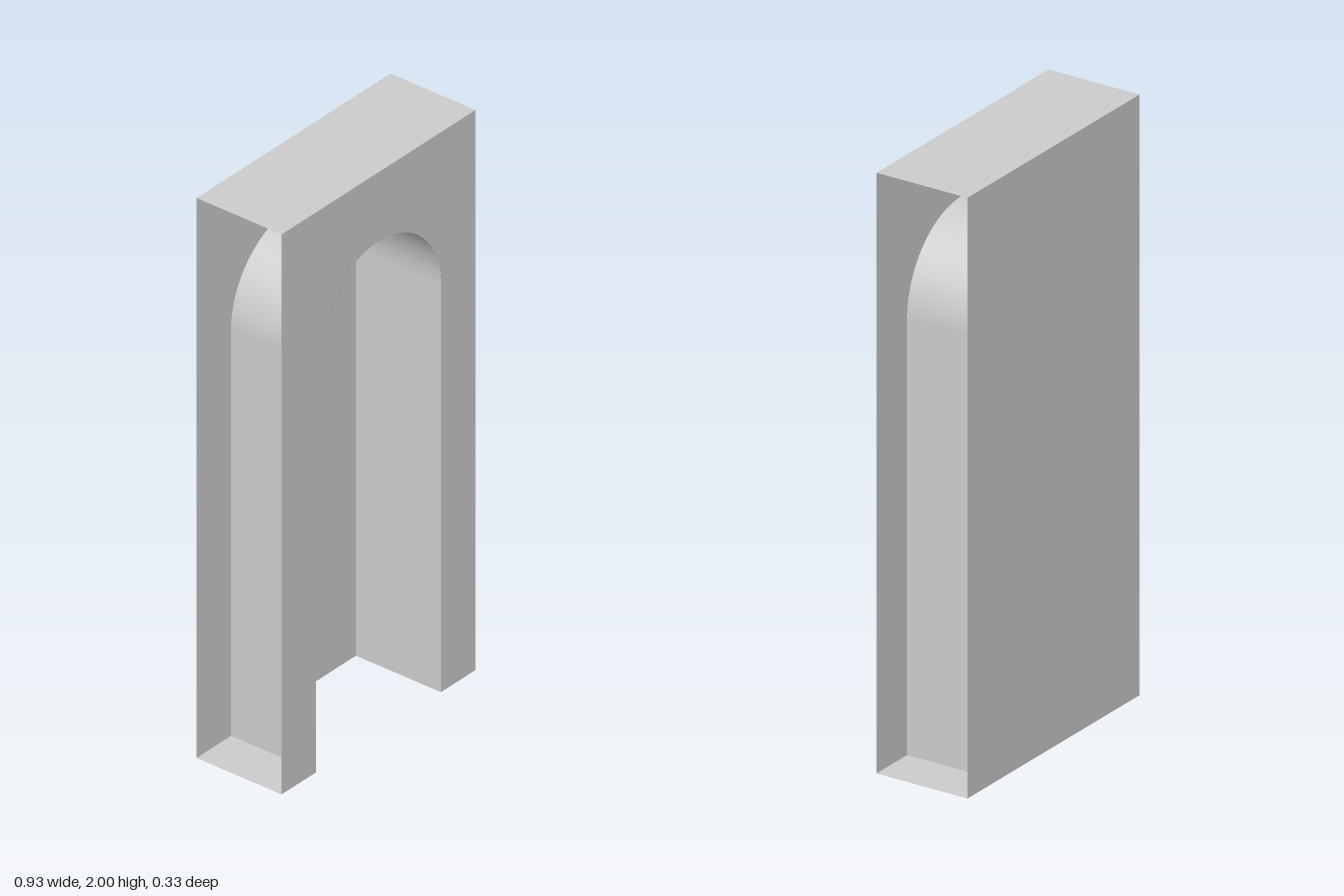
import * as THREE from 'three';

const HALF_W = 0.466;   // half width of the frame
const HEIGHT = 2;
const DEPTH = 0.334;
const R = 0.3;          // arch radius
const SPRING = 1.453;   // height where the arch begins

export function createModel() {
  const group = new THREE.Group();
  const material = new THREE.MeshStandardMaterial({ color: 0xcccccc, side: THREE.DoubleSide });

  const add = (name, geometry, x, y, z) => {
    const mesh = new THREE.Mesh(geometry, material);
    mesh.name = name;
    mesh.position.set(x, y, z);
    group.add(mesh);
  };

  // Front panel: a slab outline notched by the round-headed doorway
  const outline = new THREE.Shape();
  outline.moveTo(-HALF_W, 0);
  outline.lineTo(-R, 0);
  outline.lineTo(-R, SPRING);
  outline.absarc(0, SPRING, R, Math.PI, 0, true);
  outline.lineTo(R, 0);
  outline.lineTo(HALF_W, 0);
  outline.lineTo(HALF_W, HEIGHT);
  outline.lineTo(-HALF_W, HEIGHT);
  outline.closePath();
  add('frontPanel', new THREE.ShapeGeometry(outline, 32), 0, 0, DEPTH / 2);

  // Solid back panel
  const back = new THREE.PlaneGeometry(2 * HALF_W, HEIGHT).rotateY(Math.PI);
  add('backPanel', back, 0, HEIGHT / 2, -DEPTH / 2);

  // Top; the two outer sides stay open
  add('topPanel', new THREE.PlaneGeometry(2 * HALF_W, DEPTH).rotateX(-Math.PI / 2), 0, HEIGHT, 0);

  // Curved ceiling of the doorway
  const vault = new THREE.CylinderGeometry(R, R, DEPTH, 32, 1, true, -Math.PI / 2, Math.PI);
  add('archVault', vault.rotateX(-Math.PI / 2), 0, SPRING, 0);

  // Doorway walls and the soles under the two legs
  for (const [side, s] of [['left', 1], ['right', -1]]) {
    const wall = new THREE.PlaneGeometry(DEPTH, SPRING).rotateY(-s * Math.PI / 2);
    add(side + 'DoorwayWall', wall, s * R, SPRING / 2, 0);
    const sole = new THREE.PlaneGeometry(HALF_W - R, DEPTH).rotateX(Math.PI / 2);
    add(side + 'LegBottom', sole, s * (HALF_W + R) / 2, 0, 0);
  }

  return group;
}
